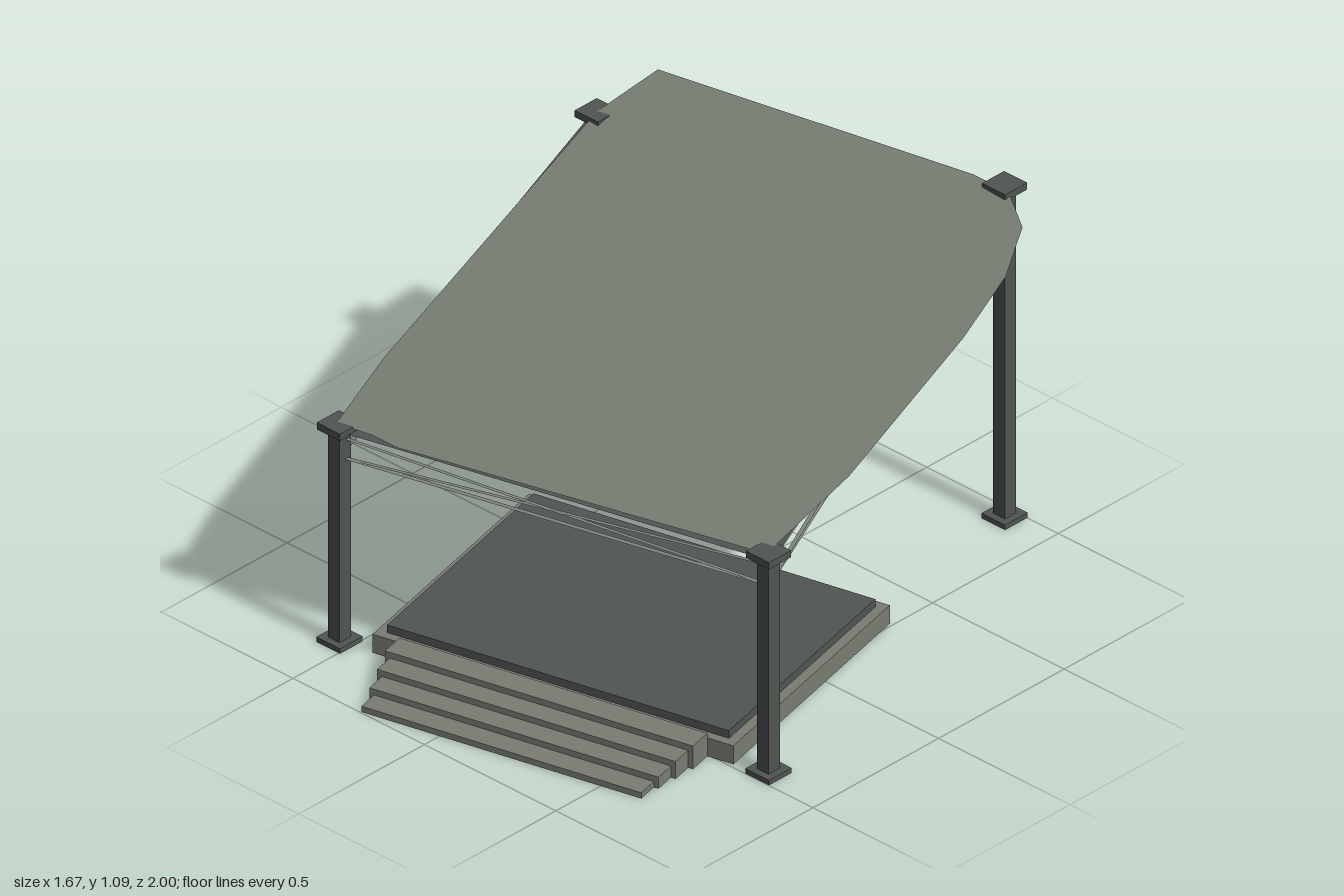
import * as THREE from 'three';

const mat = (name, color, side = THREE.FrontSide) => {
  const m = new THREE.MeshStandardMaterial({ color, side });
  m.name = name;
  return m;
};

export function createModel() {
  const model = new THREE.Group();
  model.name = 'canopyPavilion';
  const stone = mat('stone', 0x787d72);
  const canopyCloth = mat('canopyCloth', 0x787d72, THREE.DoubleSide);
  const darkMetal = mat('darkMetal', 0x505552);
  const beamMetal = mat('beamMetal', 0x505552, THREE.DoubleSide);
  const cable = mat('cable', 0x80847f, THREE.DoubleSide);

  function box(parent, name, material, size, pos) {
    const mesh = new THREE.Mesh(new THREE.BoxGeometry(...size), material);
    mesh.name = name;
    mesh.position.set(...pos);
    parent.add(mesh);
  }

  // Flat ribbon between two points, its width kept horizontal
  function ribbon(name, material, p, q, width) {
    const geometry = new THREE.PlaneGeometry(width, p.distanceTo(q)).rotateX(-Math.PI / 2);
    const mesh = new THREE.Mesh(geometry, material);
    mesh.name = name;
    mesh.position.lerpVectors(p, q, 0.5);
    mesh.lookAt(q);
    model.add(mesh);
  }

  // Platform and steps, turned about the vertical axis
  const TURN = 0.232;
  const platform = new THREE.Group();
  platform.name = 'platform';
  platform.rotation.y = TURN;
  model.add(platform);
  const cu = -0.02, cw = 0.207;
  box(platform, 'baseSlab', stone, [1.15, 0.06, 0.85], [cu, 0.03, cw]);
  box(platform, 'floor', darkMetal, [1.09, 0.025, 0.795], [cu, 0.0725, cw]);
  for (let i = 0; i < 4; i++) {
    const front = 0.914 - i * 0.068, back = 0.632, top = 0.0187 * (i + 1);
    box(platform, 'step', stone, [0.892 + i * 0.03, top, front - back],
      [cu + 0.001, top / 2, (front + back) / 2]);
  }

  // Four posts with foot and cap plates: x, z, top height
  const posts = [
    [-0.54, 0.773, 0.71], [0.787, 0.454, 0.72],
    [0.337, -0.957, 1.084], [-0.79, -0.515, 1.035],
  ];
  for (const [x, z, h] of posts) {
    const post = new THREE.Group();
    post.name = 'post';
    post.position.set(x, 0, z);
    box(post, 'shaft', darkMetal, [0.045, h - 0.02, 0.045], [0, (h - 0.02) / 2, 0]);
    box(post, 'foot', darkMetal, [0.09, 0.016, 0.09], [0, 0.008, 0]);
    box(post, 'cap', darkMetal, [0.088, 0.022, 0.088], [0, h - 0.011, 0]);
    model.add(post);
  }

  // Edge beams and thin cables from post to post
  const at = (i, drop) => {
    const [x, z, h] = posts[i % 4];
    return new THREE.Vector3(x, h - drop, z);
  };
  for (let i = 0; i < 4; i++) {
    ribbon('edgeBeam', beamMetal, at(i, 0.018), at(i + 1, 0.018), 0.038);
    ribbon('lowerCable', cable, at(i, 0.11), at(i + 1, 0.11), 0.015);
    ribbon('crossCable', cable, at(i, 0.045), at(i + 1, 0.11), 0.012);
    ribbon('crossCable', cable, at(i, 0.11), at(i + 1, 0.045), 0.012);
  }

  // Sloping canopy sheet: plan outline (x, z) lifted onto a tilted plane
  const outline = [
    [-0.76, -0.725], [-0.787, -0.51], [-0.7, 0], [-0.612, 0.52], [-0.545, 0.78],
    [-0.43, 0.757], [-0.34, 0.752], [0.785, 0.46], [0.765, 0.11], [0.655, -0.46],
    [0.587, -0.7], [0.493, -0.865], [0.37, -0.94], [0.24, -0.935],
  ];
  const sheet = new THREE.ShapeGeometry(
    new THREE.Shape(outline.map(([x, z]) => new THREE.Vector2(x, -z))));
  sheet.rotateX(-Math.PI / 2);
  const p = sheet.attributes.position;
  for (let i = 0; i < p.count; i++) {
    const w = p.getX(i) * 0.225 + p.getZ(i) * 0.974;
    p.setY(i, 0.867 - 0.2487 * w);
  }
  sheet.computeVertexNormals();
  const canopy = new THREE.Mesh(sheet, canopyCloth);
  canopy.name = 'canopy';
  model.add(canopy);

  return model;
}
